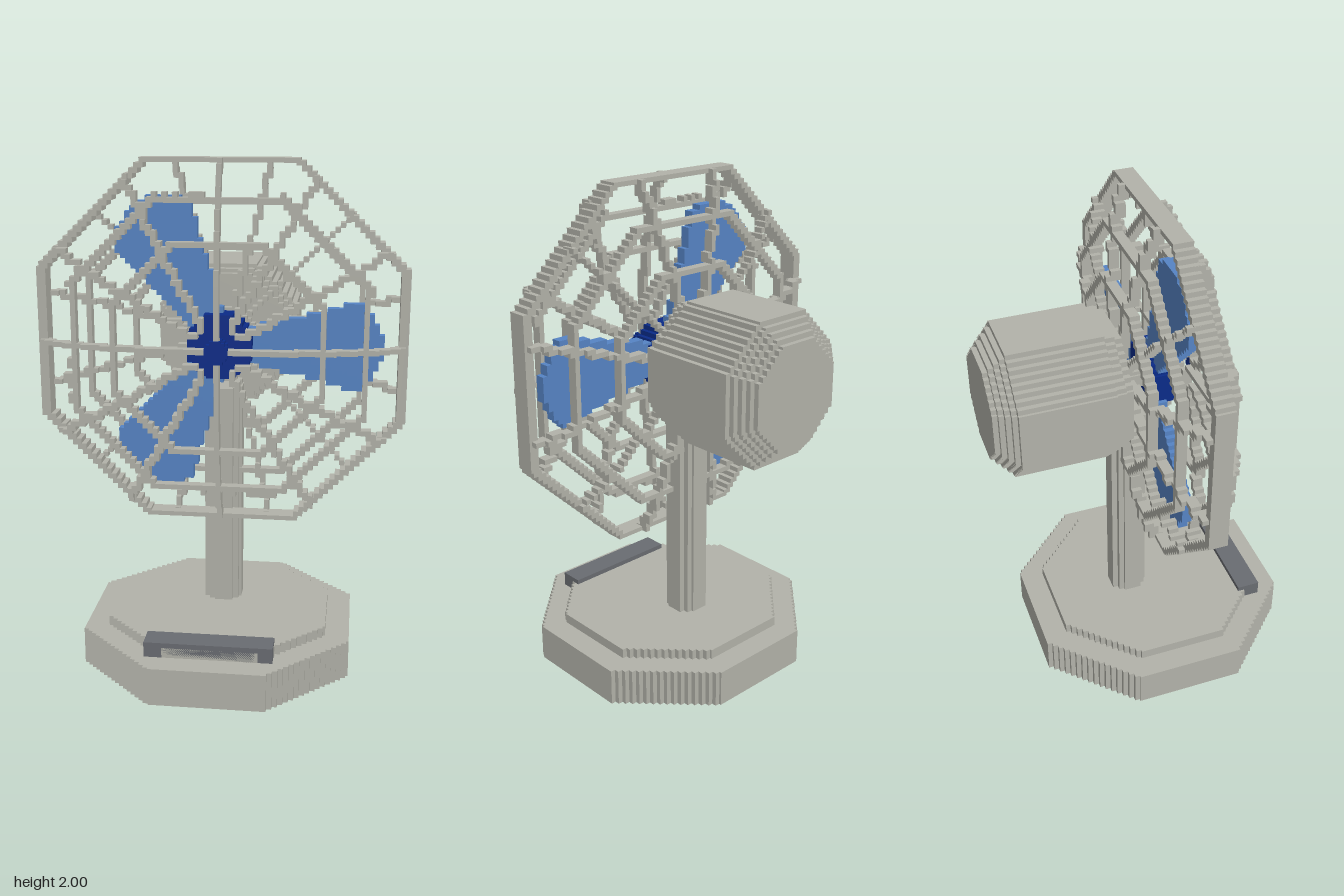
import * as THREE from 'three';

const U = 0.02;   // step size
const CY = 1.29;  // height of the fan axis

const material = (name, color) => {
  const m = new THREE.MeshStandardMaterial({ color });
  m.name = name;
  return m;
};

// Octagon outline whose diagonal sides are stair-stepped
function steppedOctagon(a, sx = 1, cx = 0, cy = 0) {
  const s = a * 0.4142, n = Math.max(2, Math.round((a - s) / U)), d = (a - s) / n;
  const points = [];
  for (let q = 0; q < 4; q++) {
    const c = Math.round(Math.cos(q * Math.PI / 2)), t = Math.round(Math.sin(q * Math.PI / 2));
    for (let i = 0; i <= n; i++) {
      for (const k of [-0.5, 0.5]) {
        const x = a - i * d, y = Math.min(a, s + (i + k) * d);
        points.push(new THREE.Vector2(cx + (x * c - y * t) * sx, cy + x * t + y * c));
      }
    }
  }
  return points;
}

// Merge cubes on a grid into one surface, leaving out the inner faces
function cubeGeometry(cells) {
  const position = [], normal = [];
  for (const key of cells) {
    const cell = key.split(',').map(Number);
    for (let axis = 0; axis < 3; axis++) {
      for (const sign of [-1, 1]) {
        const next = [...cell];
        next[axis] += sign;
        if (cells.has(next.join())) continue;
        const b = (axis + 1) % 3, c = (axis + 2) % 3;
        const corners = [[-1, -1], [1, -1], [1, 1], [-1, 1]].map(([p, q]) => {
          const v = [...cell];
          v[axis] += sign / 2;
          v[b] += p / 2;
          v[c] += q / 2;
          return v.map(w => w * U);
        });
        const order = sign > 0 ? [0, 1, 2, 0, 2, 3] : [0, 2, 1, 0, 3, 2];
        for (const i of order) {
          position.push(...corners[i]);
          normal.push(...[0, 1, 2].map(k => (k === axis ? sign : 0)));
        }
      }
    }
  }
  const g = new THREE.BufferGeometry();
  g.setAttribute('position', new THREE.Float32BufferAttribute(position, 3));
  g.setAttribute('normal', new THREE.Float32BufferAttribute(normal, 3));
  return g;
}

const addCell = (cells, x, y, z) =>
  cells.add([x, y, z].map(v => Math.round(v / U) + 0).join());

// Distance to an octagon's side along an angle, per unit of apothem
function octagonReach(angle) {
  const e = Math.PI / 4;
  return 1 / Math.cos(angle - Math.round(angle / e) * e);
}

export function createModel() {
  const model = new THREE.Group();
  model.name = 'deskFan';
  const grey = material('warm grey', 0xb2b2a9);
  const dark = material('dark grey', 0x696c71);
  const blue = material('blade blue', 0x5684c4);
  const navy = material('hub navy', 0x0a2b88);

  const add = (name, geometry, mat, parent = model) => {
    const mesh = new THREE.Mesh(geometry, mat);
    mesh.name = name;
    parent.add(mesh);
    return mesh;
  };
  const extrude = (outline, depth, hole) => {
    const shape = new THREE.Shape(outline);
    if (hole) shape.holes.push(new THREE.Path(hole));
    return new THREE.ExtrudeGeometry(shape, { depth, bevelEnabled: false });
  };
  // Upright prism between two heights
  const upright = (name, a, z, y0, y1) =>
    add(name, extrude(steppedOctagon(a, 1, 0, -z), y1 - y0).rotateX(-Math.PI / 2).translate(0, y0, 0), grey);
  // Prism along the fan axis between two depths
  const axial = (name, a, z0, z1, mat, parent) =>
    add(name, extrude(steppedOctagon(a), z1 - z0).translate(0, CY, z0), mat, parent);

  // Base, control strip and stem
  upright('base', 0.53, 0.07, 0, 0.15);
  upright('baseStep', 0.435, 0.07, 0.15, 0.19);
  add('controlStrip', new THREE.BoxGeometry(0.495, 0.06, 0.096).translate(-0.002, 0.18, 0.457), dark);
  upright('stem', 0.075, -0.027, 0.19, 1.1);

  // Motor housing with stepped ends, and the shaft into the cage
  const motor = new THREE.Group();
  motor.name = 'motor';
  model.add(motor);
  axial('motorBody', 0.28, -0.52, -0.15, grey, motor);
  for (let i = 0; i < 4; i++) {
    axial('motorBackStep', 0.26 - i * 0.02, -0.54 - i * U, -0.52 - i * U, grey, motor);
  }
  axial('motorFrontStep', 0.265, -0.15, -0.11, grey, motor);
  axial('motorFrontStep', 0.25, -0.11, -0.08, grey, motor);
  axial('motorNeck', 0.12, -0.08, -0.05, grey, motor);
  axial('motorShaft', 0.05, -0.05, 0.04, grey, motor);

  // Hub and its caps
  axial('hub', 0.125, 0.04, 0.147, navy);
  axial('hubNose', 0.035, 0.147, 0.175, navy);
  axial('cageCap', 0.045, 0.24, 0.26, navy);

  // Three blades that widen towards rounded tips
  const profile = [[0.1, 0.07], [0.35, 0.125], [0.53, 0.175], [0.58, 0.13], [0.63, 0.03]];
  const halfWidth = r => {
    for (let i = 1; i < profile.length; i++) {
      const [r0, w0] = profile[i - 1], [r1, w1] = profile[i];
      if (r >= r0 && r <= r1) return w0 + (w1 - w0) * (r - r0) / (r1 - r0);
    }
    return -1;
  };
  for (let k = 0; k < 3; k++) {
    const cells = new Set(), c = Math.cos(k * Math.PI * 2 / 3), s = Math.sin(k * Math.PI * 2 / 3);
    for (let i = -33; i <= 33; i++) {
      for (let j = -33; j <= 33; j++) {
        const x = i * U, y = j * U;
        if (Math.abs(y * c - x * s) > halfWidth(x * c + y * s)) continue;
        for (const z of [0.06, 0.08]) addCell(cells, x, y, z);
      }
    }
    add('blade', cubeGeometry(cells).translate(0, CY, 0.01), blue);
  }

  // Outer rim of the cage
  const rim = extrude(steppedOctagon(0.711, 1.013), 0.075, steppedOctagon(0.693, 0.987));
  add('cageRim', rim.translate(0, CY, 0.035), grey);

  // Domed cage halves: octagonal rings joined by twelve spokes
  function cageHalf(name, height, rings, inner, turn) {
    const cells = new Set();
    const dome = q => 0.07 + height * Math.sqrt(Math.max(0, 1 - (q / 0.73) ** 2));
    const place = (q, angle, depth) => {
      const r = q * octagonReach(angle);
      for (let d = 0; d < depth; d++) {
        addCell(cells, r * Math.cos(angle), r * Math.sin(angle), dome(q) - Math.sign(height) * d * U);
      }
    };
    for (const q of rings) {
      for (let i = 0; i < 720; i++) place(q, i * Math.PI / 360, 2);
    }
    for (let k = 0; k < 12; k++) {
      const start = turn === 0 && k % 3 === 0 ? 0.04 : inner;
      for (let q = start; q <= 0.705; q += 0.004) place(q, k * Math.PI / 6 + turn, 2);
    }
    add(name, cubeGeometry(cells).translate(0, CY, 0), grey);
  }
  cageHalf('frontCage', 0.175, [0.57, 0.4], 0.1, 0);
  cageHalf('backCage', -0.14, [0.54, 0.36], 0.1, Math.PI / 12);

  return model;
}
